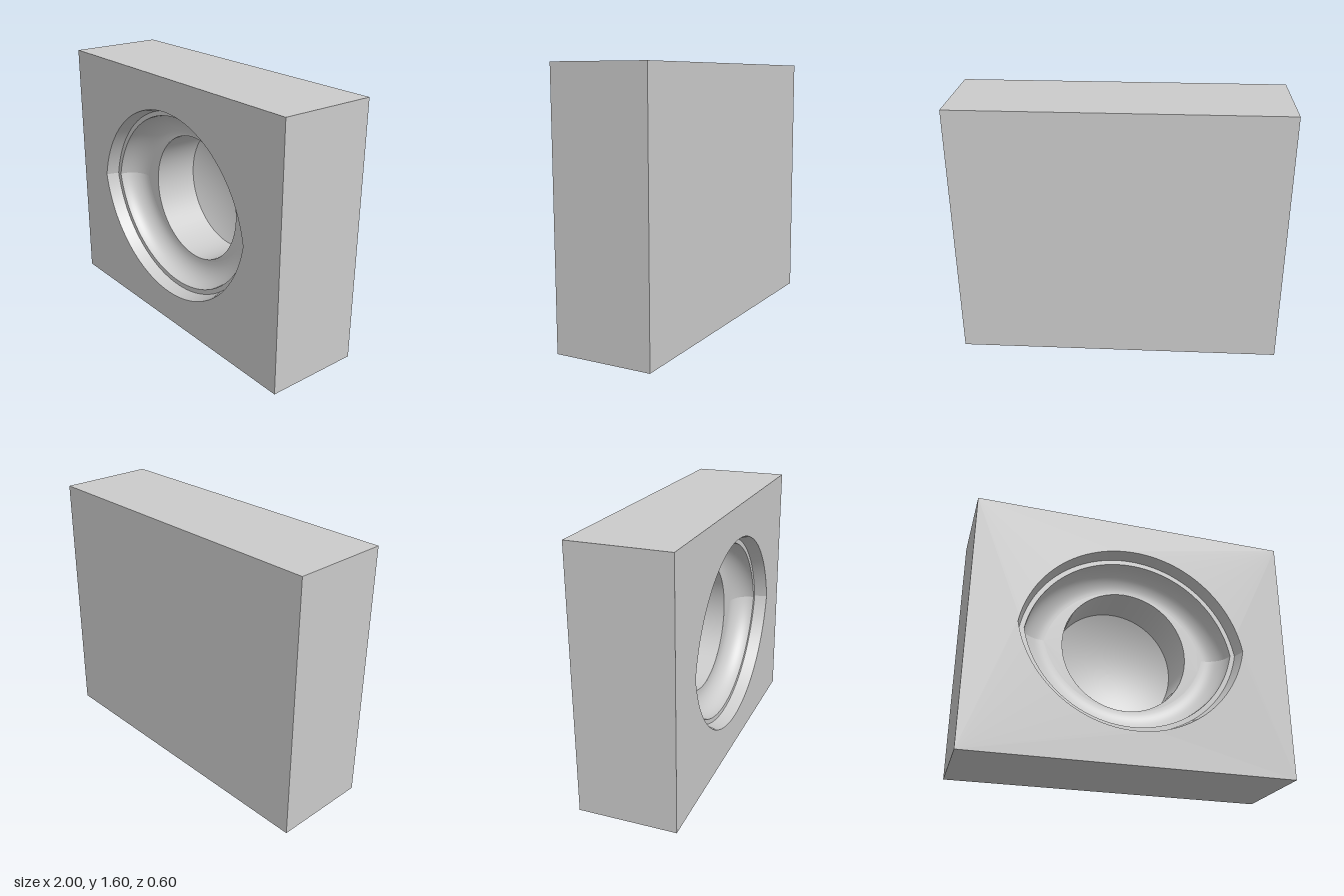
import * as THREE from 'three';

const grey = new THREE.MeshStandardMaterial({ color: 0xcccccc });
const inside = new THREE.MeshStandardMaterial({ color: 0xcccccc, side: THREE.DoubleSide });

const W = 2, H = 1.6, D = 0.6;
const OFFSET = 0.125; // arc centres sit this far from the middle line
const STEPS = 64;

// Upper arc of the eye outline, from its +x tip to its -x tip
function upperArc(R) {
  const tip = Math.asin(OFFSET / R);
  return Array.from({ length: STEPS + 1 }, (_, j) => {
    const a = tip + (Math.PI - 2 * tip) * j / STEPS;
    return new THREE.Vector2(R * Math.cos(a), R * Math.sin(a) - OFFSET);
  });
}

// Whole eye outline: the upper arc and its half-turn copy
function eyeOutline(R) {
  const up = upperArc(R).slice(0, -1);
  return [...up, ...up.map(p => new THREE.Vector2(-p.x, -p.y))];
}

// Surface through upper arcs given as [radius, z], from the front inwards
function bandGeometry(rows) {
  const pos = [], index = [], n = STEPS + 1;
  rows.forEach(([R, z], i) => {
    upperArc(R).forEach(p => pos.push(p.x, p.y, z));
    if (i === rows.length - 1) return;
    for (let j = 0; j < STEPS; j++) {
      const a = i * n + j, c = a + n;
      index.push(a, a + 1, c, a + 1, c + 1, c);
    }
  });
  const g = new THREE.BufferGeometry();
  g.setAttribute('position', new THREE.Float32BufferAttribute(pos, 3));
  g.setIndex(index);
  g.computeVertexNormals();
  return g;
}

export function createModel() {
  const model = new THREE.Group();
  model.name = 'recessedBlock';
  const add = (name, geometry, material) => {
    const m = new THREE.Mesh(geometry, material);
    m.name = name;
    m.position.y = H / 2;
    model.add(m);
    return m;
  };

  // Block: a box without its front face
  const box = new THREE.BoxGeometry(W, H, D);
  const idx = Array.from(box.index.array);
  idx.splice(24, 6);
  box.setIndex(idx);
  box.clearGroups();
  add('blockShell', box, grey);

  // Front face with the eye-shaped opening
  const face = new THREE.Shape([[-1, -1], [1, -1], [1, 1], [-1, 1]]
    .map(([x, y]) => new THREE.Vector2(x * W / 2, y * H / 2)));
  face.holes.push(new THREE.Path(eyeOutline(0.72)));
  add('frontFace', new THREE.ShapeGeometry(face).translate(0, 0, D / 2), grey);

  // Tapered wall, ledge and rounded bowl, each in an upper and lower half
  const bowl = [];
  for (let i = 0; i <= 14; i++) {
    const t = i / 14 * Math.PI / 2;
    bowl.push([0.53 + 0.14 * Math.cos(t), 0.22 - 0.13 * Math.sin(t)]);
  }
  const bands = {
    taperedWall: [[0.72, D / 2], [0.70, 0.22]],
    ledge: [[0.70, 0.22], [0.67, 0.22]],
    bowlFillet: bowl,
  };
  for (const [name, rows] of Object.entries(bands)) {
    const g = bandGeometry(rows);
    add(name + 'Upper', g, inside);
    add(name + 'Lower', g, inside).rotation.z = Math.PI;
  }

  // Flat bowl floor around the round hole
  const floor = new THREE.Shape(eyeOutline(0.53));
  floor.holes.push(new THREE.Path().absarc(0, 0, 0.4, 0, Math.PI * 2, true));
  add('bowlFloor', new THREE.ShapeGeometry(floor, 64).translate(0, 0, 0.09), inside);

  // Round hole with a shallow concave bottom
  const turned = pts => new THREE.LatheGeometry(pts, 96).rotateX(Math.PI / 2);
  add('holeWall', turned([new THREE.Vector2(0.4, 0.09), new THREE.Vector2(0.4, -0.2)]), inside);

  const depth = 0.09, R = (0.16 + depth * depth) / (2 * depth), half = Math.asin(0.4 / R);
  const dish = [];
  for (let i = 0; i <= 16; i++) {
    const a = half * (1 - i / 16);
    dish.push(new THREE.Vector2(R * Math.sin(a), -0.2 - depth + R * (1 - Math.cos(a))));
  }
  add('holeDish', turned(dish), inside);

  return model;
}
